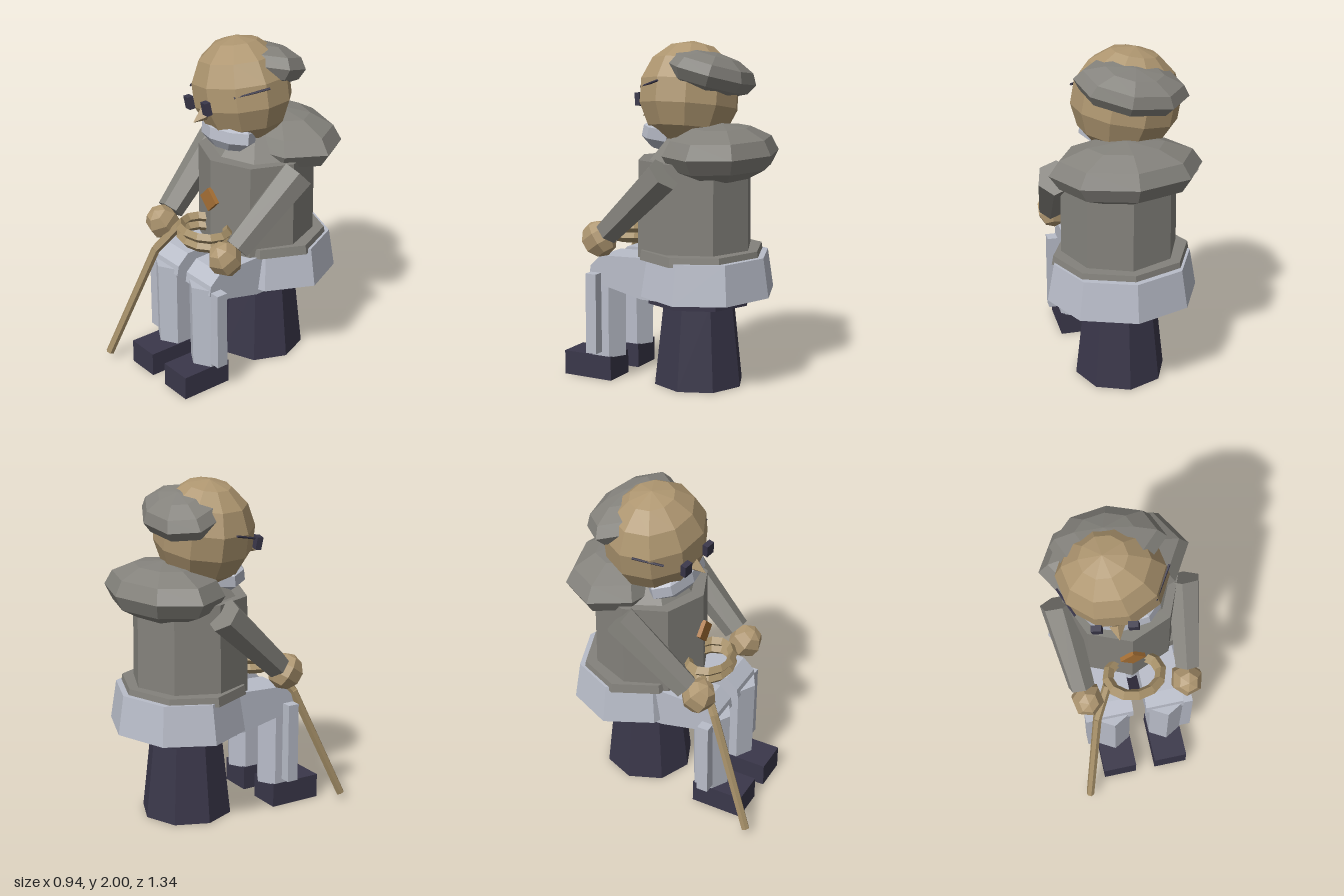
import * as THREE from 'three';

const mat = (name, color) => {
  const m = new THREE.MeshStandardMaterial({ color, flatShading: true });
  m.name = name;
  return m;
};

export function createModel() {
  const robe = mat('grey robe', 0x84827c);
  const skin = mat('tan skin', 0xae9670);
  const wood = mat('cane wood', 0xa38d66);
  const cloth = mat('pale cloth', 0xb9bdc9);
  const dark = mat('dark navy', 0x3a374a);
  const amber = mat('amber', 0xa56f35);

  const model = new THREE.Group();
  model.name = 'seatedElder';

  const add = (name, geo, material, pos = [0, 0, 0], rot = [0, 0, 0], scale = [1, 1, 1], parent = model) => {
    const m = new THREE.Mesh(geo, material);
    m.name = name;
    m.position.set(...pos);
    m.rotation.set(...rot);
    m.scale.set(...scale);
    parent.add(m);
    return m;
  };
  const ball = (w, h) => new THREE.SphereGeometry(1, w, h);

  // Tapered rod running from point a to point b
  const rod = (name, a, b, ra, rb, sides, material) => {
    const from = new THREE.Vector3(...a), to = new THREE.Vector3(...b);
    const dir = to.clone().sub(from);
    const m = add(name, new THREE.CylinderGeometry(rb, ra, dir.length(), sides), material);
    m.position.copy(from).add(to).multiplyScalar(0.5);
    m.quaternion.setFromUnitVectors(new THREE.Vector3(0, 1, 0), dir.normalize());
    return m;
  };

  // Octagonal section with separate width and depth
  const octagon = (name, y0, y1, r0, r1, z, depth, material) =>
    add(name, new THREE.CylinderGeometry(r1, r0, y1 - y0, 8), material, [0, (y0 + y1) / 2, z], [0, 0, 0], [1, 1, depth]);

  // Stool
  octagon('stoolBase', 0, 0.5, 0.27, 0.215, -0.22, 1, dark);
  octagon('stoolSeat', 0.49, 0.55, 0.31, 0.31, -0.22, 1, dark);

  // Robe
  octagon('skirt', 0.55, 0.78, 0.445, 0.405, -0.28, 0.87, cloth);
  octagon('waistBand', 0.76, 0.815, 0.41, 0.4, -0.24, 0.88, robe);
  octagon('torso', 0.75, 1.33, 0.345, 0.34, -0.19, 1, robe);
  octagon('collar', 1.33, 1.46, 0.29, 0.17, -0.19, 0.9, robe);
  add('hoodRoll', ball(8, 6), robe, [0, 1.37, -0.36], [0, 0, 0], [0.44, 0.17, 0.31]);
  add('diamondClasp', new THREE.BoxGeometry(0.105, 0.105, 0.025), amber, [0, 1.085, 0.158], [0, 0, Math.PI / 4]);

  // Thigh side profile, in depth and height
  const thighShape = new THREE.Shape([
    [-0.1, 0.52], [0.02, 0.52], [0.29, 0.58], [0.37, 0.63], [0.36, 0.69], [0.29, 0.755], [-0.1, 0.77],
  ].map(p => new THREE.Vector2(...p)));
  const thighGeo = new THREE.ExtrudeGeometry(thighShape, { depth: 0.23, bevelEnabled: false });
  thighGeo.translate(0, 0, -0.115).rotateY(-Math.PI / 2);

  // Legs and arms
  for (const s of [-1, 1]) {
    const side = s > 0 ? 'left' : 'right';
    add(side + 'Thigh', thighGeo, cloth, [s * 0.155, 0, 0]);
    add(side + 'Shin', new THREE.CylinderGeometry(0.12, 0.115, 0.52, 6), cloth, [s * 0.165, 0.4, 0.3]);
    add(side + 'Drape', new THREE.BoxGeometry(0.19, 0.48, 0.07), cloth, [s * 0.235, 0.41, 0.325]);
    add(side + 'Shoe', new THREE.BoxGeometry(0.205, 0.145, 0.32), dark, [s * 0.163, 0.0725, 0.39]);
    rod(side + 'Arm', [s * 0.37, 1.28, -0.19], [s * 0.32, 0.91, 0.21], 0.105, 0.08, 6, robe);
    add(side + 'Hand', ball(6, 5), skin, [s * 0.3, 0.86, 0.28], [0.6, s * 0.3, 0], [0.1, 0.11, 0.105]);
  }

  // Head, turned and tilted to its right
  const head = new THREE.Group();
  head.name = 'head';
  head.position.set(-0.055, 1.69, -0.125);
  head.rotation.set(0.05, -0.18, 0.18);
  model.add(head);
  add('skull', ball(10, 7), skin, [0, 0, 0], [0, 0, 0], [0.315, 0.312, 0.29], head);
  add('hair', ball(8, 6), robe, [0, 0.12, -0.15], [-0.27, 0, 0], [0.325, 0.125, 0.225], head);

  // Face
  add('beard', ball(8, 5), cloth, [-0.035, 1.455, -0.01], [-0.15, -0.15, 0.1], [0.235, 0.105, 0.13]);
  for (const [x, y, z] of [[-0.2, 1.625, 0.145], [0, 1.655, 0.175]])
    add('eye', new THREE.BoxGeometry(0.058, 0.075, 0.035), dark, [x, y, z], [0.15, -0.18, 0.15]);
  rod('nose', [-0.083, 1.585, 0.13], [-0.085, 1.55, 0.205], 0.046, 0.001, 4, skin);
  rod('leftTemple', [0.14, 1.74, 0.09], [0.25, 1.79, -0.08], 0.007, 0.007, 5, dark);
  rod('rightTemple', [-0.3, 1.675, 0.06], [-0.37, 1.715, -0.1], 0.007, 0.007, 5, dark);

  // Two stacked rings held in front of the belly
  for (const y of [0.855, 0.912])
    add('beltRing', new THREE.TorusGeometry(0.16, 0.032, 4, 12), wood, [0, y, 0.2], [Math.PI / 2, 0, 0], [1, 0.78, 1]);

  // Cane with a bent handle
  const cane = [[-0.38, 0.045, 0.645], [-0.262, 0.715, 0.365], [-0.17, 0.89, 0.23]];
  rod('caneShaft', cane[0], cane[1], 0.025, 0.027, 6, wood);
  rod('caneHandle', cane[1], cane[2], 0.027, 0.027, 6, wood);

  return model;
}
